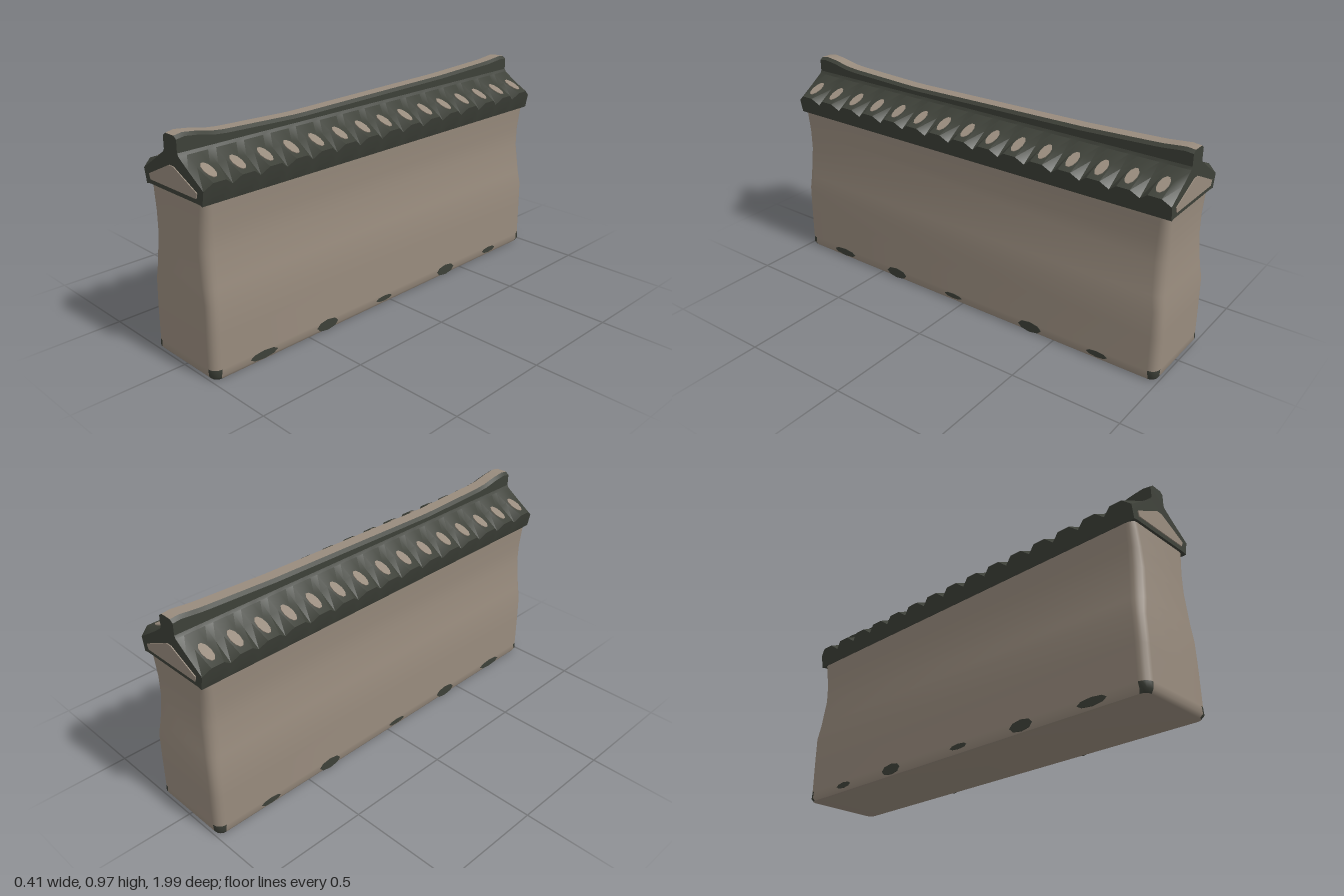
import * as THREE from 'three';
import { toCreasedNormals } from 'three/addons/utils/BufferGeometryUtils.js';

const plaster = new THREE.MeshStandardMaterial({ color: 0x988b7d });
plaster.name = 'warm plaster';
const tile = new THREE.MeshStandardMaterial({ color: 0x3d4038 });
tile.name = 'dark tile';

// Skins rows of points; colour(row, column) picks material 0 or 1 for each quad
function loft(rows, colour, caps) {
  const n = rows[0].length, pos = rows.flat(2), idx = [[], []];
  for (let j = 0; j < rows.length - 1; j++) {
    for (let i = 0; i < n; i++) {
      const a = j * n + i, b = j * n + (i + 1) % n;
      idx[colour(j, i)].push(a, b, a + n, b, b + n, a + n);
    }
  }
  caps.forEach(([m, list]) => idx[m].push(...list));
  const g = new THREE.BufferGeometry();
  g.setAttribute('position', new THREE.Float32BufferAttribute(pos, 3));
  g.setIndex([...idx[0], ...idx[1]]);
  g.addGroup(0, idx[0].length, 0);
  g.addGroup(idx[0].length, idx[1].length, 1);
  return g;
}

// Outline triangles, listed for the counter-clockwise side
const capOf = (pts) => THREE.ShapeUtils.triangulateShape(pts.map((p) => new THREE.Vector2(p[0], p[1])), []).flat();

function addMesh(parent, name, geometry, material) {
  const mesh = new THREE.Mesh(geometry, material);
  mesh.name = name;
  parent.add(mesh);
  return mesh;
}

// Waisted wall with rounded upright corners: y, half width, front z, back z, corner radius
function wallGeometry() {
  const levels = [
    [0, 0.19, 0.985, -0.985, 0.03], [0.015, 0.199, 0.997, -0.994, 0.035],
    [0.045, 0.199, 0.997, -0.994, 0.04], [0.2, 0.198, 0.996, -0.994, 0.04],
    [0.32, 0.197, 0.993, -0.993, 0.04], [0.39, 0.188, 0.99, -0.985, 0.045],
    [0.53, 0.172, 0.985, -0.975, 0.045], [0.62, 0.172, 0.982, -0.973, 0.04],
    [0.7, 0.179, 0.98, -0.975, 0.035], [0.76, 0.183, 0.978, -0.978, 0.03],
  ];
  const steps = 5;
  const rows = levels.map(([y, w, front, back, r]) => {
    const row = [];
    for (let c = 0; c < 4; c++) {
      const cx = (c === 0 || c === 3 ? 1 : -1) * (w - r);
      const cz = c < 2 ? back + r : front - r;
      for (let s = 0; s < steps; s++) {
        const a = (c + s / (steps - 1)) * Math.PI / 2;
        row.push([cx + r * Math.cos(a), y, cz - r * Math.sin(a)]);
      }
    }
    return row;
  });
  const base = capOf(rows[0].map((p) => [p[0], -p[2]])).reverse();
  // Worn dark corners at the foot
  const worn = (j, i) => (j < 2 && i % steps !== steps - 1 ? 1 : 0);
  return toCreasedNormals(loft(rows, worn, [[0, base]]), 0.9);
}

// Sagging crest of the ridge
const crest = [[-1, 0.962], [-0.96, 0.968], [-0.85, 0.957], [-0.5, 0.943], [0, 0.936],
  [0.4, 0.93], [0.8, 0.944], [0.94, 0.973], [1, 0.963]];
function crestAt(z) {
  const k = Math.max(1, crest.findIndex((p) => p[0] >= z));
  const [a, b] = [crest[k - 1], crest[k]];
  return THREE.MathUtils.mapLinear(z, a[0], b[0], a[1], b[1]);
}

const COUNT = 15, PITCH = 1.98 / COUNT;
const tileZ = (k) => (k - (COUNT - 1) / 2) * PITCH;

// Roof section; rib is 1 on a tile row and 0 in the valley between rows
function roofSection(z, rib) {
  const h = crestAt(z);
  const half = [
    [0.165, 0.732], [0.183, 0.728], [0.19 + 0.006 * rib, 0.765],
    [0.195 + 0.012 * rib, 0.79 + 0.028 * rib], [0.11, 0.846 + 0.009 * rib],
    [0.05, 0.888], [0.043, 0.9], [0.043, h - 0.012], [0.027, h],
  ];
  const mirrored = half.map(([x, y]) => [-x, y]).reverse();
  return [...half, ...mirrored].map(([x, y]) => [x, y, z]);
}

function roofGeometry() {
  const rows = [];
  for (let k = 0; k < COUNT; k++) {
    for (const [t, rib] of [[-0.5, 0], [-0.22, 1], [0.22, 1]]) rows.push(roofSection(tileZ(k) + t * PITCH, rib));
  }
  rows.push(roofSection(0.99, 0));
  const n = rows[0].length, last = (rows.length - 1) * n;
  const cap = capOf(rows[0]), endCap = capOf(rows[rows.length - 1]);
  const caps = [[1, cap.reverse()], [1, endCap.map((i) => i + last)]];
  // The flat crest between the two bevels is plaster
  return toCreasedNormals(loft(rows, (j, i) => (i === n / 2 - 1 ? 0 : 1), caps), 0.5);
}

export function createModel() {
  const group = new THREE.Group();
  group.name = 'tile-capped wall';
  addMesh(group, 'wall', wallGeometry(), [plaster, tile]);
  addMesh(group, 'roof', roofGeometry(), [plaster, tile]);

  // Pale tile faces on both slopes
  const spot = new THREE.CylinderGeometry(1, 1, 1, 10).scale(0.046, 0.008, 0.022);
  for (const side of [1, -1]) {
    for (let k = 0; k < COUNT; k++) {
      const m = addMesh(group, 'tileFace', spot, plaster);
      m.position.set(side * 0.14, 0.843, tileZ(k));
      m.rotation.z = -side * 0.38;
    }
  }

  // Pale gable panel on each end
  const gable = new THREE.Shape([[-0.15, 0.752], [0.15, 0.752], [0.157, 0.775], [0.015, 0.843], [-0.015, 0.843], [-0.157, 0.775]]
    .map((p) => new THREE.Vector2(...p)));
  const panel = new THREE.ExtrudeGeometry(gable, { depth: 0.006, bevelEnabled: false });
  for (const side of [1, -1]) {
    const m = addMesh(group, 'gablePanel', panel, plaster);
    m.position.z = side * 0.988;
    if (side < 0) m.rotation.y = Math.PI;
  }

  // Worn dark patches along the foot: z, half length, height
  const patch = new THREE.CylinderGeometry(1, 1, 1, 8).rotateZ(Math.PI / 2);
  for (const side of [1, -1]) {
    for (const [z, len, high] of [[0.75, 0.07, 0.018], [0.4, 0.06, 0.025], [0.05, 0.05, 0.012], [-0.38, 0.06, 0.025], [-0.72, 0.05, 0.014]]) {
      const m = addMesh(group, 'wornPatch', patch, tile);
      m.scale.set(0.004, high, len);
      m.position.set(side * 0.199, 0.027, z);
    }
  }
  return group;
}
